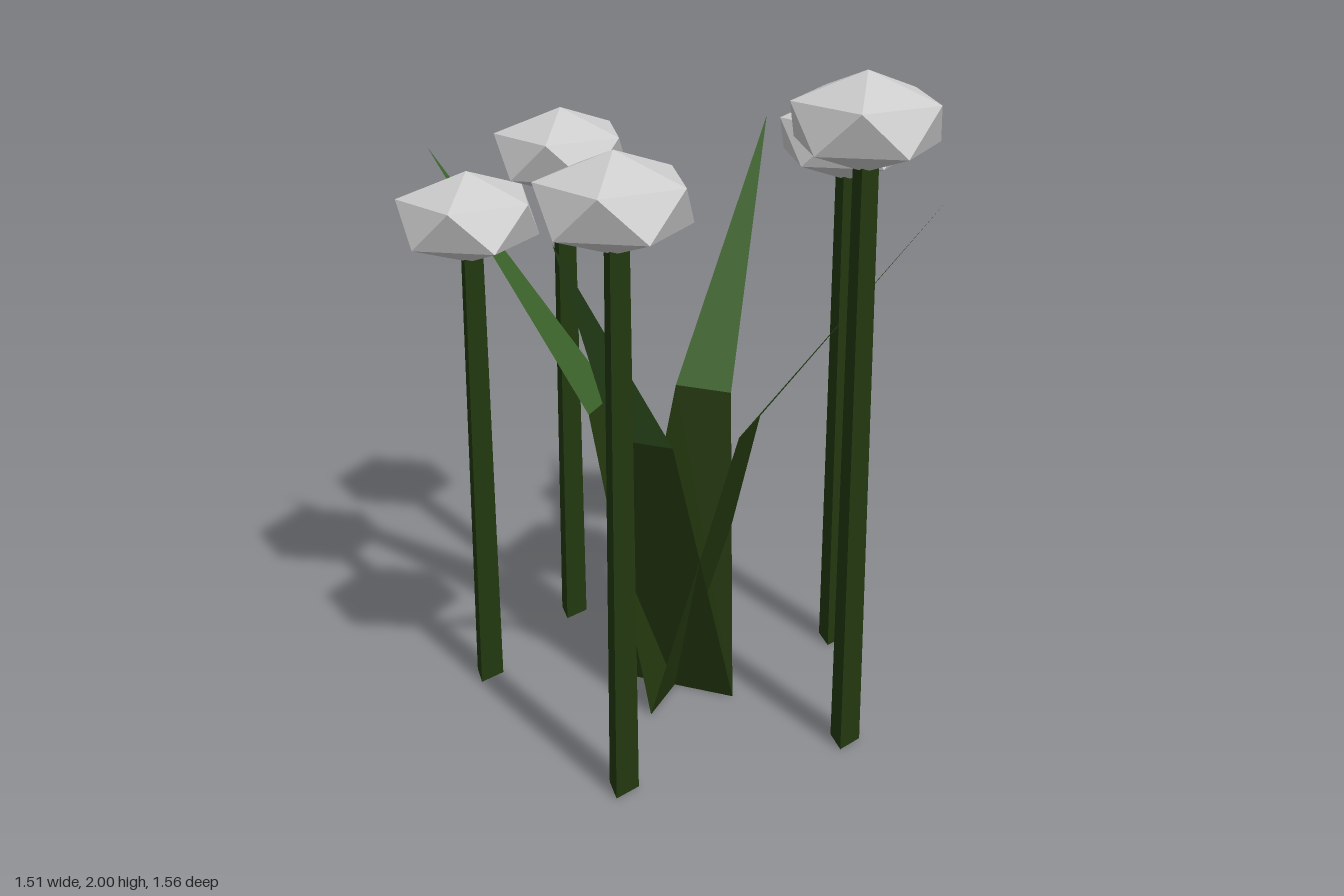
import * as THREE from 'three';

const material = (name, color) => {
  const m = new THREE.MeshStandardMaterial({ color, flatShading: true });
  m.name = name;
  return m;
};

// Flat sheet from a fan of corners, seen from both sides
function sheet(corners, mat, name) {
  const geo = new THREE.BufferGeometry();
  geo.setAttribute('position', new THREE.Float32BufferAttribute(corners.flat(), 3));
  geo.setIndex(corners.length === 4 ? [0, 1, 2, 0, 2, 3] : [0, 1, 2]);
  geo.computeVertexNormals();
  const mesh = new THREE.Mesh(geo, mat);
  mesh.name = name;
  return mesh;
}

export function createModel() {
  const model = new THREE.Group();
  model.name = 'flowerClump';

  const petal = material('petal grey white', 0xcccccc);
  const stemGreen = material('stem green', 0x22380f);
  const leafDark = material('lower leaf green', 0x22360e);
  const leafLight = material('upper leaf green', 0x3a6028);
  leafDark.side = leafLight.side = THREE.DoubleSide;

  // Flower head: squashed icosahedron standing on a corner
  const headGeo = new THREE.IcosahedronGeometry(1, 0);
  headGeo.rotateX(-Math.atan((1 + Math.sqrt(5)) / 2));
  headGeo.rotateY(Math.PI / 2);
  headGeo.scale(0.229, 0.135, 0.229);

  // Flowers: x, z, height of the top
  const flowers = [
    [0.10, 0.585, 2.0],
    [-0.54, 0.305, 1.85],
    [0.55, 0.15, 1.82],
    [-0.40, -0.465, 1.635],
    [0.07, -0.59, 1.73],
  ];
  for (const [x, z, top] of flowers) {
    const flower = new THREE.Group();
    flower.name = 'flower';
    flower.position.set(x, 0, z);

    const head = new THREE.Mesh(headGeo, petal);
    head.name = 'flowerHead';
    head.position.y = top - 0.135;

    // Three-sided tapering stem, one corner to the back
    const height = top - 0.23;
    const stem = new THREE.Mesh(new THREE.CylinderGeometry(0.04, 0.05, height, 3), stemGreen);
    stem.name = 'stem';
    stem.rotation.y = Math.PI;
    stem.position.y = height / 2;

    flower.add(head, stem);
    model.add(flower);
  }

  // Four crossing leaves, each a dark blade with a lighter bent tip
  const leaves = new THREE.Group();
  leaves.name = 'leaves';
  leaves.position.x = -0.025;
  const baseL = [0, 0, 0.193], baseR = [0, 0, -0.193];
  const midL = [0.237, 0.91, 0.091], midR = [0.237, 0.91, -0.091];
  const tip = [0.79, 1.65, 0];
  for (let i = 0; i < 4; i++) {
    const leaf = new THREE.Group();
    leaf.name = 'leaf';
    leaf.rotation.y = 0.405 + (i * Math.PI) / 2;
    leaf.add(
      sheet([baseL, baseR, midR, midL], leafDark, 'leafBlade'),
      sheet([midL, midR, tip], leafLight, 'leafTip'),
    );
    leaves.add(leaf);
  }
  model.add(leaves);

  return model;
}
